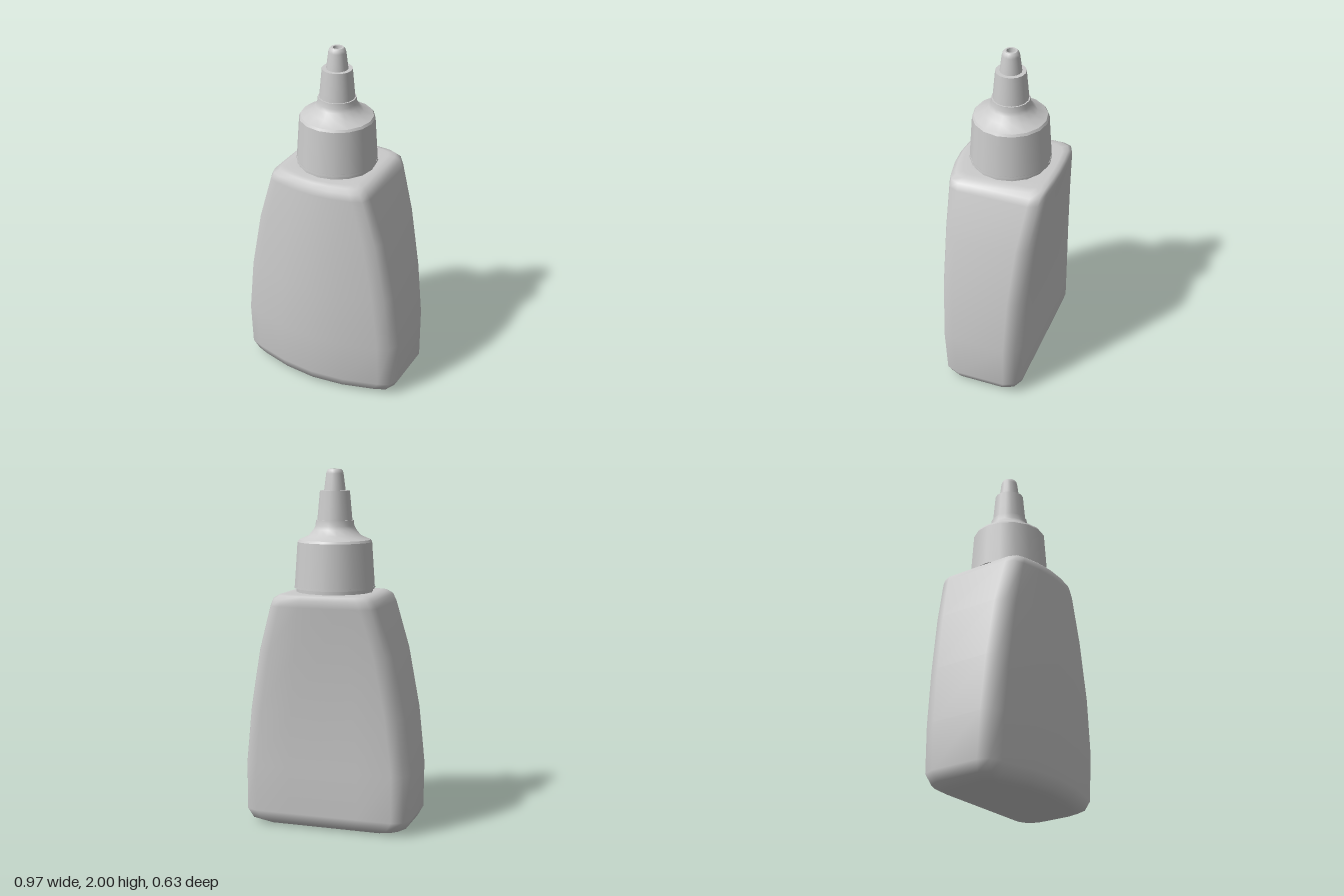
import * as THREE from 'three';

const material = new THREE.MeshStandardMaterial({ color: 0xcccccc });
const CAP_Z = -0.02;

// Body sections, bottom to top: y, half width, front z, back z, front bulge, back bulge, corner size
const SECTIONS = [
  [0, 0.34, 0.18, -0.15, 0.05, 0, 0.08],
  [0, 0.4, 0.24, -0.19, 0.06, 0, 0.085],
  [0.025, 0.455, 0.28, -0.23, 0.07, 0, 0.09],
  [0.08, 0.485, 0.3, -0.245, 0.075, 0, 0.09],
  [0.34, 0.485, 0.315, -0.245, 0.075, 0, 0.09],
  [0.66, 0.45, 0.317, -0.255, 0.07, 0, 0.09],
  [1.0, 0.385, 0.302, -0.28, 0.055, 0.005, 0.085],
  [1.26, 0.305, 0.283, -0.31, 0.035, 0.01, 0.075],
  [1.3, 0.285, 0.275, -0.313, 0.03, 0.01, 0.07],
  [1.32, 0.255, 0.255, -0.3, 0.03, 0.01, 0.065],
  [1.325, 0.22, 0.23, -0.275, 0.03, 0.01, 0.06],
  [1.325, 0.17, 0.18, -0.225, 0.02, 0.01, 0.05],
];

// One closed ring: rounded corners with a bowed front and back
function ring([y, w, front, back, bulgeF, bulgeB, c]) {
  const f = front - bulgeF, b = back + bulgeB, x = w - c;
  const right = [
    [x * 0.5, front - bulgeF * 0.27], [x, f], [w - c * 0.3, f - c * 0.3], [w, f - c],
    [w, b + c], [w - c * 0.3, b + c * 0.3], [x, b], [x * 0.5, back + bulgeB * 0.27],
  ];
  const left = right.map(([px, pz]) => [-px, pz]).reverse();
  return [[0, front], ...right, [0, back], ...left].map(([px, pz]) => [px, y, pz]);
}

function bodyGeometry() {
  const rings = SECTIONS.map(ring);
  const n = rings[0].length, last = rings.length - 1;
  const positions = rings.flat(2), index = [];
  for (let r = 0; r < last; r++) {
    for (let i = 0; i < n; i++) {
      const j = (i + 1) % n, a = r * n, b = a + n;
      index.push(a + i, a + j, b + j, a + i, b + j, b + i);
    }
  }
  // flat base and shoulder fans
  const base = rings.length * n, top = base + 1;
  positions.push(0, 0, 0, 0, 1.325, CAP_Z);
  for (let i = 0; i < n; i++) {
    const j = (i + 1) % n;
    index.push(base, j, i, top, last * n + i, last * n + j);
  }
  const g = new THREE.BufferGeometry();
  g.setAttribute('position', new THREE.Float32BufferAttribute(positions, 3));
  g.setIndex(index);
  g.computeVertexNormals();
  return g;
}

// Turned part made of smooth bands that meet in sharp edges
function turned(name, bands) {
  const part = new THREE.Group();
  part.name = name;
  bands.forEach((band, i) => {
    const points = band.map(([r, y]) => new THREE.Vector2(r, y));
    const mesh = new THREE.Mesh(new THREE.LatheGeometry(points, 16), material);
    mesh.name = `${name}Band${i + 1}`;
    part.add(mesh);
  });
  part.position.z = CAP_Z;
  return part;
}

export function createModel() {
  const model = new THREE.Group();
  model.name = 'squeezeBottle';

  const body = new THREE.Mesh(bodyGeometry(), material);
  body.name = 'body';
  model.add(body);

  model.add(turned('neck', [[[0.215, 1.31], [0.215, 1.36]]]));

  // screw cap with a lower lip and a flared shoulder
  model.add(turned('cap', [
    [[0.2, 1.345], [0.227, 1.345]],
    [[0.227, 1.345], [0.226, 1.358]],
    [[0.224, 1.358], [0.208, 1.6]],
    [[0.208, 1.6], [0.2, 1.613]],
    [[0.2, 1.613], [0.145, 1.637], [0.118, 1.67], [0.108, 1.69], [0.105, 1.72]],
    [[0.105, 1.72], [0.09, 1.72]],
  ]));

  // twist nozzle
  model.add(turned('nozzle', [
    [[0.098, 1.715], [0.083, 1.882]],
    [[0.083, 1.882], [0.055, 1.882]],
  ]));

  // rounded tip with a small opening
  model.add(turned('tip', [
    [[0.06, 1.88], [0.048, 1.975], [0.044, 1.99], [0.035, 2]],
    [[0.035, 2], [0.024, 2]],
    [[0.024, 2], [0.022, 1.97]],
    [[0.022, 1.97], [0, 1.97]],
  ]));

  return model;
}
